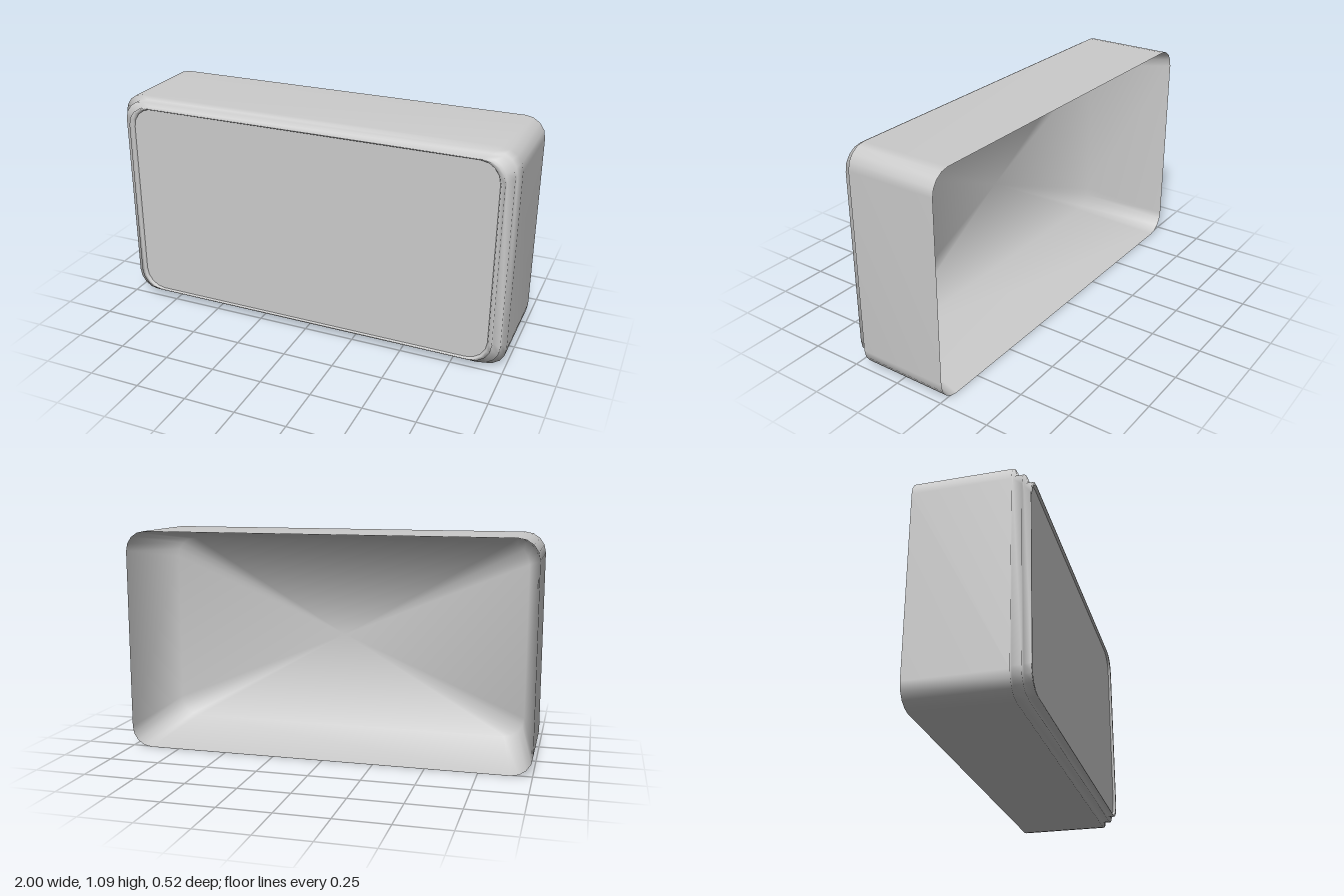
import * as THREE from 'three';

const HALF_W = 1, HALF_H = 0.545, RADIUS = 0.1, SEGMENTS = 4;

// Rounded rectangle, counter-clockwise seen from the front
function outline({ z, dx, dy }) {
  const w = HALF_W - dx, h = HALF_H - dy;
  const corners = [[1, 1], [-1, 1], [-1, -1], [1, -1]];
  return corners.flatMap(([sx, sy], c) =>
    Array.from({ length: SEGMENTS + 1 }, (_, i) => {
      const a = (c + i / SEGMENTS) * Math.PI / 2;
      return [
        sx * (w - RADIUS) + RADIUS * Math.cos(a),
        HALF_H + sy * (h - RADIUS) + RADIUS * Math.sin(a),
        z,
      ];
    }));
}

// Smooth skin through the sections, optionally closed by a fan on the last one
function skin(sections, { cap = false, inward = false } = {}) {
  const rings = sections.map(outline);
  const n = rings[0].length;
  const points = rings.flat();
  const index = [];
  const tri = (a, b, c) => (inward ? index.push(a, c, b) : index.push(a, b, c));
  for (let r = 0; r < rings.length - 1; r++) {
    for (let j = 0; j < n; j++) {
      const k = (j + 1) % n, a = r * n, b = a + n;
      tri(a + j, a + k, b + k);
      tri(a + j, b + k, b + j);
    }
  }
  if (cap) {
    const last = (rings.length - 1) * n, centre = points.length;
    points.push([0, HALF_H, sections[sections.length - 1].z]);
    for (let j = 0; j < n; j++) tri(centre, last + j, last + (j + 1) % n);
  }
  const geometry = new THREE.BufferGeometry();
  geometry.setAttribute('position', new THREE.Float32BufferAttribute(points.flat(), 3));
  geometry.setIndex(index);
  geometry.computeVertexNormals();
  return geometry;
}

export function createModel() {
  const group = new THREE.Group();
  const material = new THREE.MeshStandardMaterial({ color: 0xcccccc, side: THREE.DoubleSide });
  const add = (name, geometry) => {
    const mesh = new THREE.Mesh(geometry, material);
    mesh.name = name;
    group.add(mesh);
  };

  const backRim = { z: -0.26, dx: 0, dy: 0 };
  const panel = { z: 0.248, dx: 0.08, dy: 0.05 };

  // Outer wall with two stepped ledges and a shallow lip around the front panel
  add('outerShell', skin([
    backRim,
    { z: 0.19, dx: 0, dy: 0 },
    { z: 0.19, dx: 0.022, dy: 0.022 },
    { z: 0.23, dx: 0.022, dy: 0.022 },
    { z: 0.23, dx: 0.056, dy: 0.042 },
    { z: 0.26, dx: 0.056, dy: 0.042 },
    { z: 0.26, dx: 0.074, dy: 0.047 },
    panel,
  ]));

  // Flat front panel
  add('frontPanel', skin([panel], { cap: true }));

  // Tapered lining of the open back, closed by the inner panel
  add('innerLining', skin([
    backRim,
    { z: 0.19, dx: 0.075, dy: 0.06 },
  ], { cap: true, inward: true }));

  return group;
}
